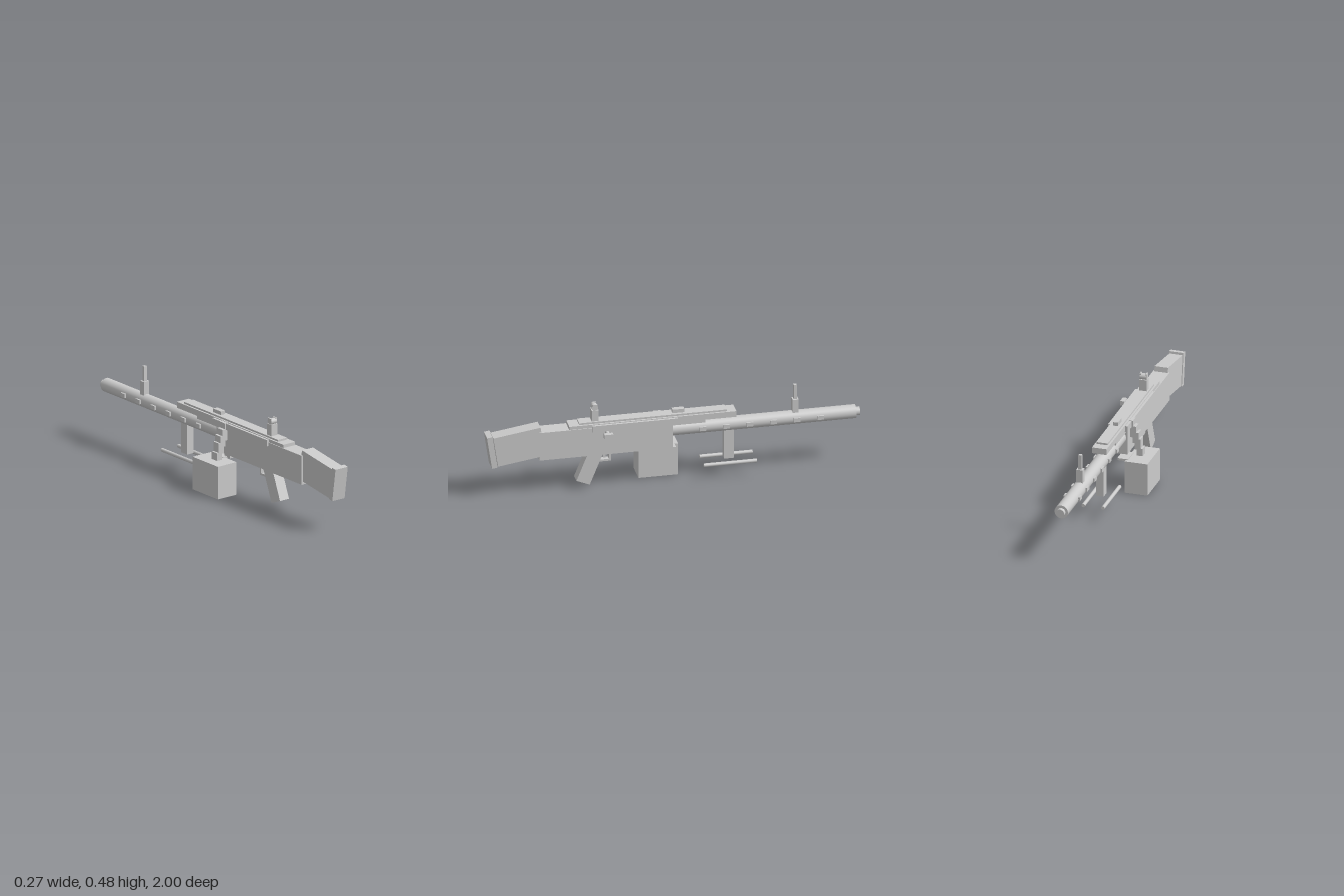
import * as THREE from 'three';

export function createModel() {
  const model = new THREE.Group();
  const mat = new THREE.MeshStandardMaterial({ color: 0xcccccc });
  const CX = 0.032; // centre line of the body

  const add = (name, geo, x, y, z, rx = 0) => {
    const m = new THREE.Mesh(geo, mat);
    m.name = name;
    m.position.set(x, y, z);
    m.rotation.x = rx;
    model.add(m);
    return m;
  };
  // Box given by its limits on each axis
  const box = (name, [x0, x1], [y0, y1], [z0, z1]) =>
    add(name, new THREE.BoxGeometry(x1 - x0, y1 - y0, z1 - z0), (x0 + x1) / 2, (y0 + y1) / 2, (z0 + z1) / 2);
  // Span of a given width around the centre line
  const mid = (w) => [CX - w / 2, CX + w / 2];
  // Cylinder lying along z
  const rod = (name, r, x, y, z0, z1, sides = 32) =>
    add(name, new THREE.CylinderGeometry(r, r, z1 - z0, sides), x, y, (z0 + z1) / 2, Math.PI / 2);

  // Receiver, side rails and top cover
  box('receiver', mid(0.088), [0.2, 0.36], [0.005, 0.72]);
  box('sideRails', mid(0.106), [0.34, 0.374], [-0.02, 0.44]);
  box('topCover', mid(0.08), [0.345, 0.378], [-0.335, 0.56]);
  box('coverStrip', mid(0.06), [0.376, 0.388], [-0.285, 0.505]);
  box('coverLatch', mid(0.028), [0.386, 0.408], [-0.062, 0.002]);
  box('coverSupport', mid(0.075), [0.328, 0.347], [-0.17, 0.02]);

  // Tilted stock and its end plate
  add('stock', new THREE.BoxGeometry(0.074, 0.168, 0.255), CX, 0.286, 0.827, 0.148);
  add('buttPlate', new THREE.BoxGeometry(0.082, 0.182, 0.03), CX, 0.269, 0.972, 0.148);

  // Barrel with side lugs and muzzle
  rod('barrel', 0.037, CX, 0.293, -0.978, 0.02);
  rod('muzzle', 0.023, CX, 0.293, -1, -0.97);
  for (let i = 0; i < 6; i++) {
    const z = -0.155 - 0.126 * i;
    box('barrelLug', mid(0.09), [0.283, 0.305], [z - 0.018, z + 0.018]);
  }

  // Grip, trigger and guard
  add('grip', new THREE.BoxGeometry(0.06, 0.205, 0.077), CX, 0.135, 0.446, -0.384);
  box('trigger', mid(0.018), [0.165, 0.205], [0.36, 0.373]);
  box('guardBar', mid(0.03), [0.147, 0.158], [0.332, 0.42]);
  box('guardPost', mid(0.03), [0.147, 0.19], [0.332, 0.343]);

  // Box on the right side with its bracket
  box('sideBox', [-0.137, -0.012], [0, 0.18], [-0.04, 0.172]);
  box('boxBracket', [-0.024, 0.035], [0.172, 0.184], [-0.02, 0.075]);
  box('bracketBlock', [0, 0.04], [0.178, 0.205], [0.055, 0.1]);

  // Stepped feed belt: left edge, bottom, top of each link
  [
    [-0.081, 0.175, 0.222], [-0.07, 0.213, 0.274], [-0.059, 0.249, 0.31],
    [-0.045, 0.281, 0.344], [-0.028, 0.31, 0.376],
  ].forEach(([x, y0, y1]) => box('beltLink', [x, x + 0.034], [y0, y1], [0.05, 0.095]));

  // Side handle
  const shaft = add('handleShaft', new THREE.CylinderGeometry(0.01, 0.01, 0.06, 12), 0.09, 0.33, 0.36);
  shaft.rotation.z = Math.PI / 2;
  box('handleKnob', [0.113, 0.136], [0.317, 0.342], [0.337, 0.385]);

  // Rear sight with a round head between two ears
  box('rearSightPost', mid(0.042), [0.385, 0.45], [0.4, 0.436]);
  const head = add('rearSightHead', new THREE.CylinderGeometry(0.017, 0.017, 0.036, 12), CX, 0.463, 0.418);
  head.rotation.z = Math.PI / 2;
  for (const s of [-1, 1]) {
    const x = CX + s * 0.016;
    box('rearSightEar', [x - 0.004, x + 0.004], [0.452, 0.482], [0.406, 0.43]);
  }

  // Front sight
  box('frontSightPost', mid(0.036), [0.315, 0.4], [-0.672, -0.64]);
  box('frontSightBlade', mid(0.018), [0.398, 0.482], [-0.664, -0.648]);

  // Folded bipod
  box('bipodPost', mid(0.042), [0.098, 0.275], [-0.324, -0.273]);
  for (const s of [-1, 1]) rod('bipodLeg', 0.01, CX + s * 0.054, 0.087, -0.44, -0.157, 16);

  return model;
}
